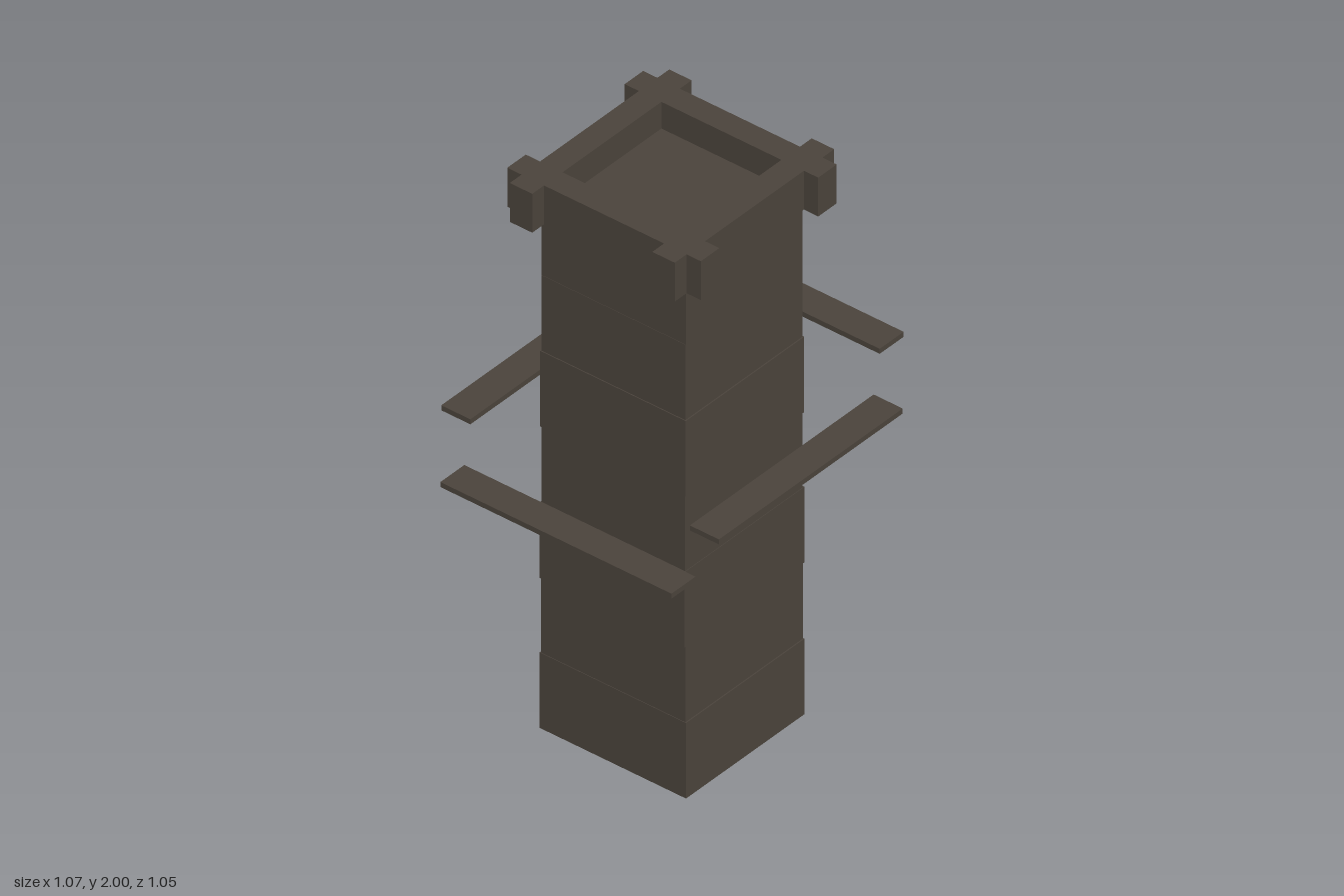
import * as THREE from 'three';

export function createModel() {
  const group = new THREE.Group();
  group.name = 'tower';
  const stone = new THREE.MeshStandardMaterial({ color: 0x4a433b });
  stone.name = 'darkStone';

  function add(name, geometry, x, y, z) {
    const mesh = new THREE.Mesh(geometry, stone);
    mesh.name = name;
    mesh.position.set(x, y, z);
    group.add(mesh);
  }
  const box = (name, w, h, d, x, y, z) => add(name, new THREE.BoxGeometry(w, h, d), x, y, z);

  // Shaft: seven stacked blocks with slightly differing half widths [x, z]
  const blockHeight = 0.272;
  const halves = [
    [0.272, 0.277], [0.270, 0.273], [0.276, 0.274], [0.270, 0.272],
    [0.272, 0.276], [0.269, 0.272], [0.268, 0.273],
  ];
  halves.forEach(([hx, hz], i) =>
    box('shaftBlock', 2 * hx, blockHeight, 2 * hz, 0, (i + 0.5) * blockHeight, 0));

  // Thin square hatch on the sunken roof floor
  box('roofHatch', 0.335, 0.006, 0.335, 0, 7 * blockHeight + 0.003, 0);

  // Crown: square rim with crossing beam ends at every corner
  const inner = 0.227, outer = 0.312, tip = 0.366;
  const quarter = [[outer, inner], [tip, inner], [tip, outer], [outer, outer], [outer, tip], [inner, tip], [inner, outer]];
  const outline = [];
  for (let k = 0; k < 4; k++) {
    const c = [1, 0, -1, 0][k], s = [0, 1, 0, -1][k];
    for (const [x, y] of quarter) outline.push(new THREE.Vector2(c * x - s * y, s * x + c * y));
  }
  const rim = new THREE.Shape(outline);
  rim.holes.push(new THREE.Path([[-1, -1], [-1, 1], [1, 1], [1, -1]]
    .map(([x, y]) => new THREE.Vector2(x * inner, y * inner))));
  const crown = new THREE.ExtrudeGeometry(rim, { depth: 0.14, bevelEnabled: false });
  crown.rotateX(-Math.PI / 2);
  add('crownRim', crown, 0, 1.86, 0);

  // Floating planks stepping around the shaft
  const thick = 0.018;
  for (const side of [-1, 1]) {
    box('crossPlank', 0.844, thick, 0.11, 0, 1.123, side * 0.47);
    box('sidePlank', 0.11, thick, 0.874, side * 0.478, 1.123 + side * 0.174, 0);
  }
  return group;
}
